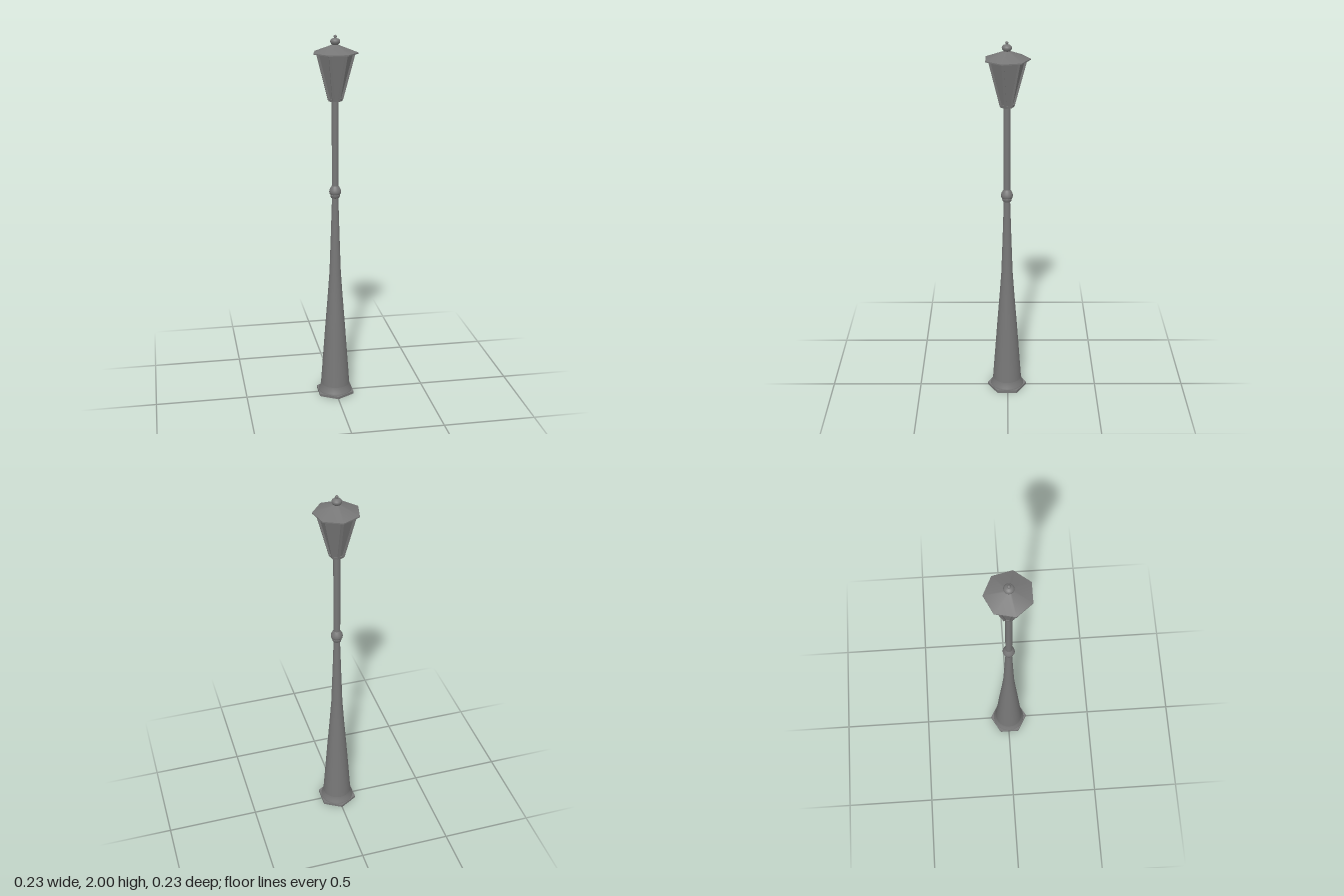
import * as THREE from 'three';

const LANTERN_SIDES = 7;

export function createModel() {
  const model = new THREE.Group();
  model.name = 'lampPost';
  const smooth = new THREE.MeshStandardMaterial({ color: 0x777777, side: THREE.DoubleSide });
  const flat = new THREE.MeshStandardMaterial({ color: 0x777777, flatShading: true, side: THREE.DoubleSide });

  // All parts share one axis, set slightly forward
  const lamp = new THREE.Group();
  lamp.name = 'lamp';
  lamp.position.z = 0.004;
  model.add(lamp);

  const add = (name, geometry, material) => {
    const mesh = new THREE.Mesh(geometry, material);
    mesh.name = name;
    lamp.add(mesh);
    return mesh;
  };
  const lathe = (name, points, segments = 24) =>
    add(name, new THREE.LatheGeometry(points.map(([r, y]) => new THREE.Vector2(r, y)), segments), smooth);
  // Straight-sided prism or frustum between two heights
  const frustum = (name, rBottom, rTop, y0, y1, sides, start = 0, material = flat) => {
    const g = new THREE.CylinderGeometry(rTop, rBottom, y1 - y0, sides, 1, false, start);
    g.translate(0, (y0 + y1) / 2, 0);
    return add(name, g, material);
  };
  // Square bar between two points
  const bar = (name, a, b, width) => {
    const mesh = add(name, new THREE.BoxGeometry(width, a.distanceTo(b), width), flat);
    mesh.position.copy(a).add(b).multiplyScalar(0.5);
    mesh.quaternion.setFromUnitVectors(new THREE.Vector3(0, 1, 0), b.clone().sub(a).normalize());
  };

  // Hexagonal foot and round tapering column
  frustum('footPlate', 0.11, 0.11, 0, 0.014, 6);
  lathe('columnFoot', [[0.093, 0.014], [0.092, 0.022], [0.084, 0.035], [0.08, 0.055]]);
  lathe('lowerColumn', [[0.08, 0.055], [0.068, 0.22], [0.055, 0.4], [0.041, 0.58], [0.031, 0.72], [0.024, 0.92], [0.017, 1.14]]);

  // Collar and knob joining the two shafts
  lathe('collar', [[0.017, 1.137], [0.023, 1.14], [0.026, 1.153], [0.026, 1.158], [0.02, 1.16]]);
  lathe('knob', [[0.024, 1.157], [0.03, 1.161], [0.032, 1.172], [0.03, 1.184], [0.023, 1.197], [0.018, 1.205]]);
  lathe('upperColumn', [[0.018, 1.195], [0.018, 1.66]]);

  // Seven-sided lantern, flat side to the front and a corner to the back
  frustum('lanternPanes', 0.033, 0.094, 1.67, 1.908, LANTERN_SIDES, Math.PI);
  frustum('lanternFloor', 0.037, 0.04, 1.66, 1.674, LANTERN_SIDES, Math.PI);
  const corner = (i, r, y) => {
    const a = Math.PI + (i / LANTERN_SIDES) * Math.PI * 2;
    return new THREE.Vector3(Math.sin(a) * r, y, Math.cos(a) * r);
  };
  for (let i = 0; i < LANTERN_SIDES; i++) {
    bar('cornerPost', corner(i, 0.034, 1.668), corner(i, 0.097, 1.906), 0.012);
  }

  // Softly shaded roof with a thin eave
  frustum('eave', 0.12, 0.12, 1.905, 1.911, LANTERN_SIDES, Math.PI);
  frustum('roof', 0.12, 0.013, 1.911, 1.951, LANTERN_SIDES, Math.PI, smooth);

  // Finial: flattened ball, neck and small tip
  lathe('finial', [
    [0.012, 1.948], [0.019, 1.953], [0.024, 1.96], [0.026, 1.967], [0.024, 1.974], [0.018, 1.98], [0.009, 1.983],
    [0.005, 1.985], [0.008, 1.989], [0.009, 1.993], [0.006, 1.998], [0, 2.0],
  ]);

  return model;
}
